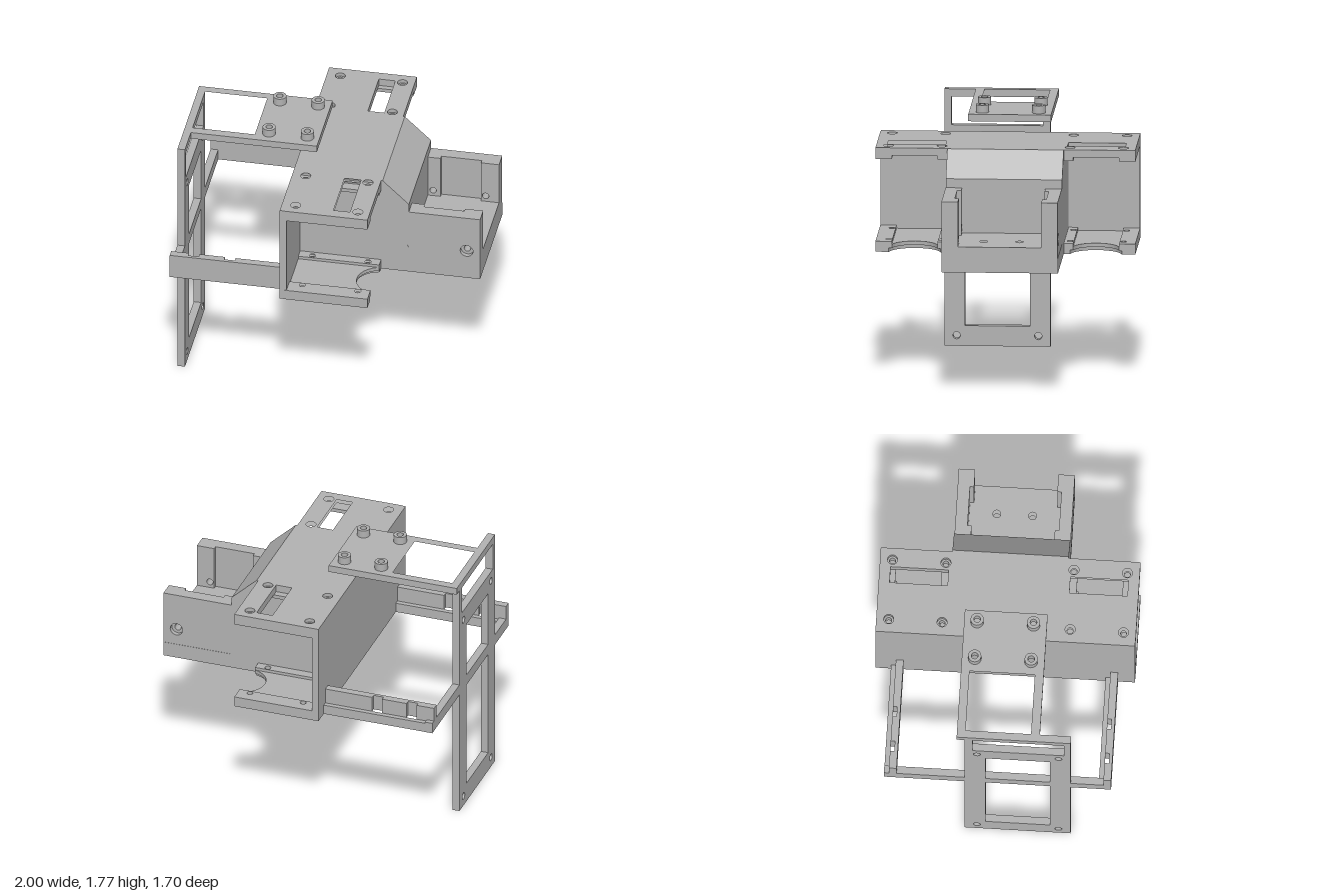
import * as THREE from 'three';

const grey = new THREE.MeshStandardMaterial({ color: 0xb2b2b2 });
grey.name = 'matte grey';

// closed 2D outline with optional holes, given as outlines or [u, v, radius] circles
function outline(points, holes = []) {
  const shape = new THREE.Shape(points.map(p => new THREE.Vector2(p[0], p[1])));
  for (const h of holes) {
    const path = new THREE.Path();
    if (Array.isArray(h[0])) path.setFromPoints(h.map(p => new THREE.Vector2(p[0], p[1])));
    else path.absarc(h[0], h[1], h[2], 0, Math.PI * 2, true);
    shape.holes.push(path);
  }
  return shape;
}
const rect = (u0, u1, v0, v1) => [[u0, v0], [u1, v0], [u1, v1], [u0, v1]];
const extrude = (shape, depth) =>
  new THREE.ExtrudeGeometry(shape, { depth, bevelEnabled: false, curveSegments: 12 });
const flip = h => Array.isArray(h[0]) ? h.map(p => [p[0], -p[1]]) : [h[0], -h[1], h[2]];

export function createModel() {
  const model = new THREE.Group();
  model.name = 'equipment mount';

  const add = (parent, name, geometry) => {
    const mesh = new THREE.Mesh(geometry, grey);
    mesh.name = name;
    parent.add(mesh);
    return mesh;
  };
  const group = name => {
    const g = new THREE.Group();
    g.name = name;
    model.add(g);
    return g;
  };
  const box = (parent, name, x0, x1, y0, y1, z0, z1) => {
    const g = new THREE.BoxGeometry(x1 - x0, y1 - y0, Math.abs(z1 - z0));
    g.translate((x0 + x1) / 2, (y0 + y1) / 2, (z0 + z1) / 2);
    return add(parent, name, g);
  };
  // outline in (x, z), extruded upward
  const slab = (parent, name, points, holes, y0, y1) => {
    const g = extrude(outline(flip(points), holes.map(flip)), y1 - y0);
    g.rotateX(-Math.PI / 2).translate(0, y0, 0);
    return add(parent, name, g);
  };
  // outline in (x, y), extruded along z
  const sheet = (parent, name, points, holes, za, zb) => {
    const g = extrude(outline(points, holes), Math.abs(zb - za));
    g.translate(0, 0, Math.min(za, zb));
    return add(parent, name, g);
  };

  // central housing with a sloped shoulder
  const housing = group('housing');
  box(housing, 'backWall', -0.245, -0.2, 0.88, 1.575, -0.852, 0.85);
  sheet(housing, 'core', [[-0.22, 0.98], [0.525, 0.98], [0.525, 1.41], [0.35, 1.575], [-0.22, 1.575]],
    [], -0.383, 0.38);
  const floorHoles = [[0.81, -0.12, 0.026], [0.81, 0.115, 0.026]];
  slab(housing, 'base', rect(-0.22, 1, -0.383, 0.38),
    [rect(0.28, 0.7, -0.2, 0.2), ...floorHoles], 0.88, 0.98);

  // open tray at the end, with screw holes and recessed side walls
  const tray = group('tray');
  slab(tray, 'trayFloor', rect(0.52, 1, -0.3, 0.3), floorHoles, 0.98, 1.05);
  const screws = r => [[0.56, 1.092, r], [0.91, 1.092, r]];
  for (const s of [1, -1]) {
    const wall = rect(0.525, 1, 0.98, 1.35);
    sheet(tray, 'trayWallOuter', wall, screws(0.043), s * 0.35, s * 0.381);
    sheet(tray, 'trayWall', wall, screws(0.022), s * 0.3, s * 0.35);
    sheet(tray, 'trayWallRib', rect(0.525, 0.61, 0.98, 1.35), [screws(0.022)[0]], s * 0.273, s * 0.3);
    sheet(tray, 'trayWallRib', rect(0.88, 1, 0.98, 1.35), [screws(0.022)[1]], s * 0.273, s * 0.3);
  }

  // side bays: grooved upper and lower plates on each side of the housing
  const arcNotch = (s, half, depth) => {
    const r = (half * half + depth * depth) / (2 * depth);
    const a = Math.asin(half / r);
    const pts = [];
    for (let i = 0; i <= 16; i++) {
      const t = -a + (2 * a * i) / 16;
      pts.push([0.34 + r - depth - r * Math.cos(t) , s * (0.595 + r * Math.sin(t))]);
    }
    return pts;
  };
  for (const s of [1, -1]) {
    const bay = group(s > 0 ? 'leftBay' : 'rightBay');
    const zr = (x0, x1, z0, z1) => rect(x0, x1, s * z0, s * z1);
    const holes = (xBack, r, zs) => zs.flatMap(z => [[xBack, s * z, r], [0.26, s * z, r]]);
    const both = [0.42, 0.77];
    const slot = zr(0.1, 0.21, 0.4, 0.78);
    const plate = zr(-0.22, 0.34, 0.38, 0.852);
    slab(bay, 'upperPlate', plate, [slot, ...holes(-0.155, 0.033, both)], 1.55, 1.575);
    slab(bay, 'upperPlate', plate, [slot, ...holes(-0.155, 0.02, both)], 1.525, 1.55);
    for (const [name, y0, y1, xb] of [['upperRail', 1.5, 1.525, -0.155], ['lowerRail', 0.93, 0.95, -0.11]]) {
      slab(bay, name, zr(-0.22, 0.34, 0.38, 0.445), holes(xb, 0.02, [0.42]), y0, y1);
      slab(bay, name, zr(-0.22, 0.34, 0.745, 0.852), holes(xb, 0.02, [0.77]), y0, y1);
    }
    // lower plate with a curved clearance cut, flared underneath
    for (const [half, depth, y0, y1] of [[0.17, 0.14, 0.88, 0.905], [0.15, 0.12, 0.905, 0.93]]) {
      const pts = [[-0.22, s * 0.38], [0.34, s * 0.38], ...arcNotch(s, half, depth),
        [0.34, s * 0.852], [-0.22, s * 0.852]];
      slab(bay, 'lowerPlate', pts, holes(-0.11, 0.02, both), y0, y1);
    }
  }

  // rear upright frame, outline in (-z, y), extruded along x
  const upright = extrude(outline(rect(-0.475, 0.22, 0, 1.715), [
    rect(-0.34, 0.085, 0.135, 0.88),
    rect(-0.34, 0.085, 0.955, 1.34),
    rect(-0.43, 0.17, 1.475, 1.665),
    ...[0.07, 1.405].flatMap(y => [[-0.395, y, 0.024], [0.14, y, 0.024]]),
  ]), 0.05);
  upright.rotateY(Math.PI / 2).translate(-1, 0, 0);
  add(model, 'uprightFrame', upright);

  // side arms: a flat ledge with a notched rail, joined by a crossbar
  const arms = group('sideArms');
  box(arms, 'crossbar', -1, -0.95, 0.88, 0.955, -0.75, 0.74);
  for (const z of [0.658, -0.749]) {
    const slots = [[-0.88, -0.81], [-0.64, -0.57]];
    const ledge = rect(-1, -0.245, z, z + 0.082);
    slab(arms, 'armLedge', ledge, slots.map(([a, b]) => rect(a, b, z + 0.032, z + 0.06)), 0.88, 0.945);
    const rail = [[-1, z + 0.032]];
    for (const [a, b] of slots)
      rail.push([a, z + 0.032], [a, z + 0.06], [b, z + 0.06], [b, z + 0.032]);
    rail.push([-0.245, z + 0.032], [-0.245, z + 0.082], [-1, z + 0.082]);
    slab(arms, 'armRail', rail, [], 0.945, 1.05);
  }

  // upper shelf with four hollow standoffs
  const shelf = group('upperShelf');
  const posts = [-0.445, -0.19].flatMap(x => [[x, -0.188], [x, 0.182]]);
  slab(shelf, 'shelfPlate', rect(-1, -0.11, -0.273, 0.27),
    [rect(-0.95, -0.535, -0.217, 0.212), ...posts.map(([x, z]) => [x, z, 0.022])], 1.668, 1.715);
  for (const [x, z] of posts) {
    const ring = new THREE.Shape().absarc(0, 0, 0.043, 0, Math.PI * 2, false);
    ring.holes.push(new THREE.Path().absarc(0, 0, 0.022, 0, Math.PI * 2, true));
    const g = extrude(ring, 0.052);
    g.rotateX(-Math.PI / 2).translate(x, 1.715, z);
    add(shelf, 'standoff', g);
  }
  return model;
}
